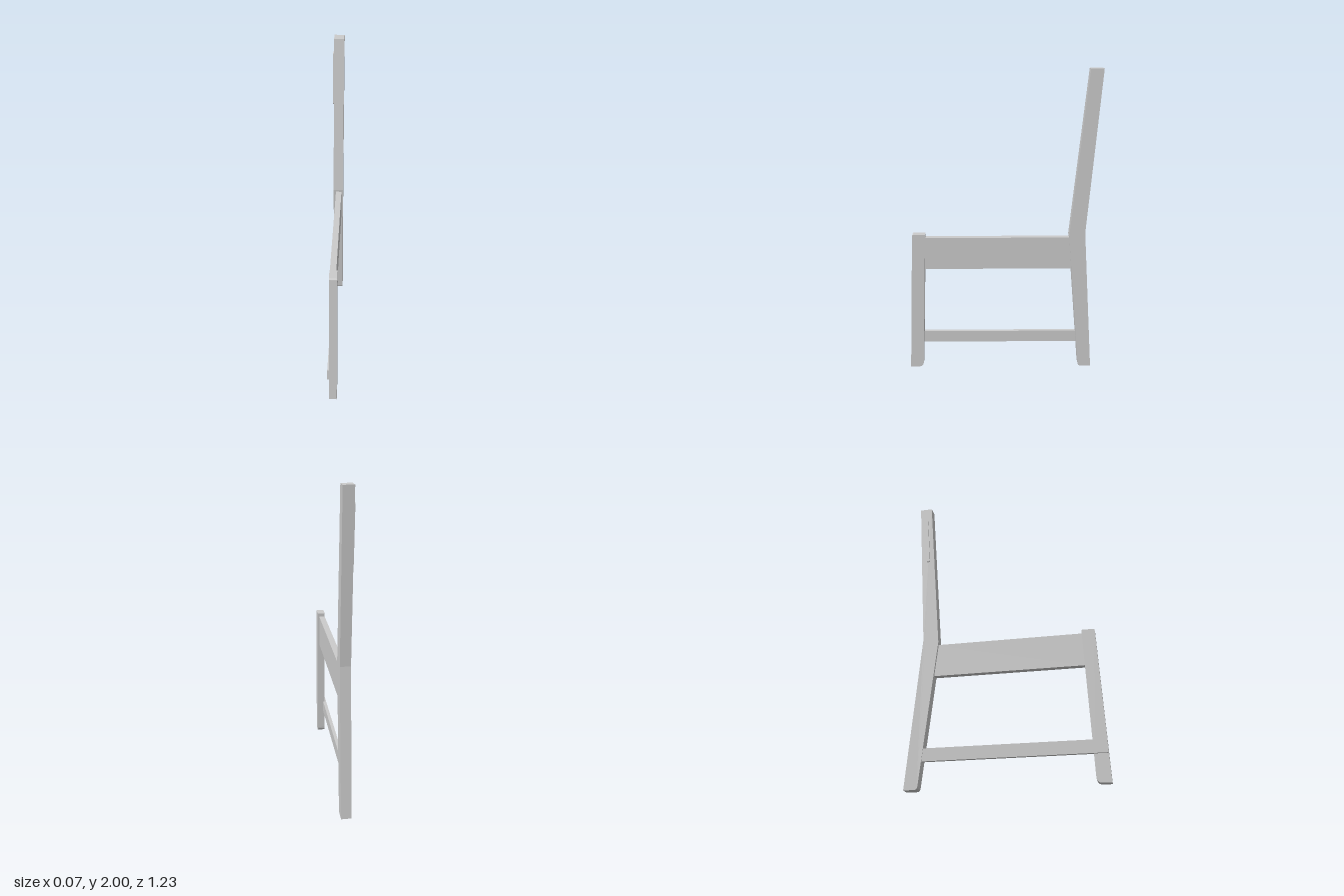
import * as THREE from 'three';

const material = new THREE.MeshStandardMaterial({ color: 0xcccccc, flatShading: true });

// Board cut from a side profile of [z, y] points, spanning x0..x1.
// A third value on a point rounds that corner.
function board(name, points, x0, x1) {
  const shape = new THREE.Shape();
  const n = points.length;
  points.forEach(([z, y, r], i) => {
    const p = new THREE.Vector2(-z, y);
    const towards = (q) => new THREE.Vector2(-q[0], q[1]).sub(p).setLength(r || 0).add(p);
    const a = towards(points[(i + n - 1) % n]);
    const b = towards(points[(i + 1) % n]);
    if (i === 0) shape.moveTo(a.x, a.y);
    else shape.lineTo(a.x, a.y);
    if (r) shape.quadraticCurveTo(p.x, p.y, b.x, b.y);
  });
  shape.closePath();
  const geometry = new THREE.ExtrudeGeometry(shape, { depth: x1 - x0, bevelEnabled: false, curveSegments: 5 });
  // Shape x becomes -z, extrusion depth becomes +x
  geometry.rotateY(Math.PI / 2);
  geometry.translate(x0, 0, 0);
  const mesh = new THREE.Mesh(geometry, material);
  mesh.name = name;
  return mesh;
}

export function createModel() {
  const frame = new THREE.Group();
  frame.name = 'chairSideFrame';

  frame.add(
    // Bent rear leg that carries on up as the backrest post
    board('backLeg', [
      [-0.53, 0, 0.02], [-0.615, 0], [-0.542, 0.97], [-0.615, 2], [-0.535, 2], [-0.44, 0.95],
    ], -0.03, 0.035),

    // Raked front leg with a rounded inner foot
    board('frontLeg', [
      [0.615, 0], [0.528, 0, 0.035], [0.485, 0.96], [0.568, 0.96, 0.008],
    ], -0.014, 0.035),

    // Deep rail under the seat
    board('seatRail', [
      [0.5, 0.72], [-0.475, 0.72], [-0.455, 0.935], [0.49, 0.935],
    ], -0.0135, 0.025),

    // Low stretcher, lapped over the inner face of the front leg
    board('stretcher', [
      [0.606, 0.17], [-0.53, 0.17], [-0.53, 0.25], [0.602, 0.25],
    ], -0.026, -0.004),

    // Shallow tenon for the backrest panel
    board('backrestTenon', [
      [-0.525, 1.56, 0.012], [-0.55, 1.56, 0.012], [-0.582, 1.905, 0.012], [-0.556, 1.905, 0.012],
    ], -0.038, -0.02),
  );
  return frame;
}
